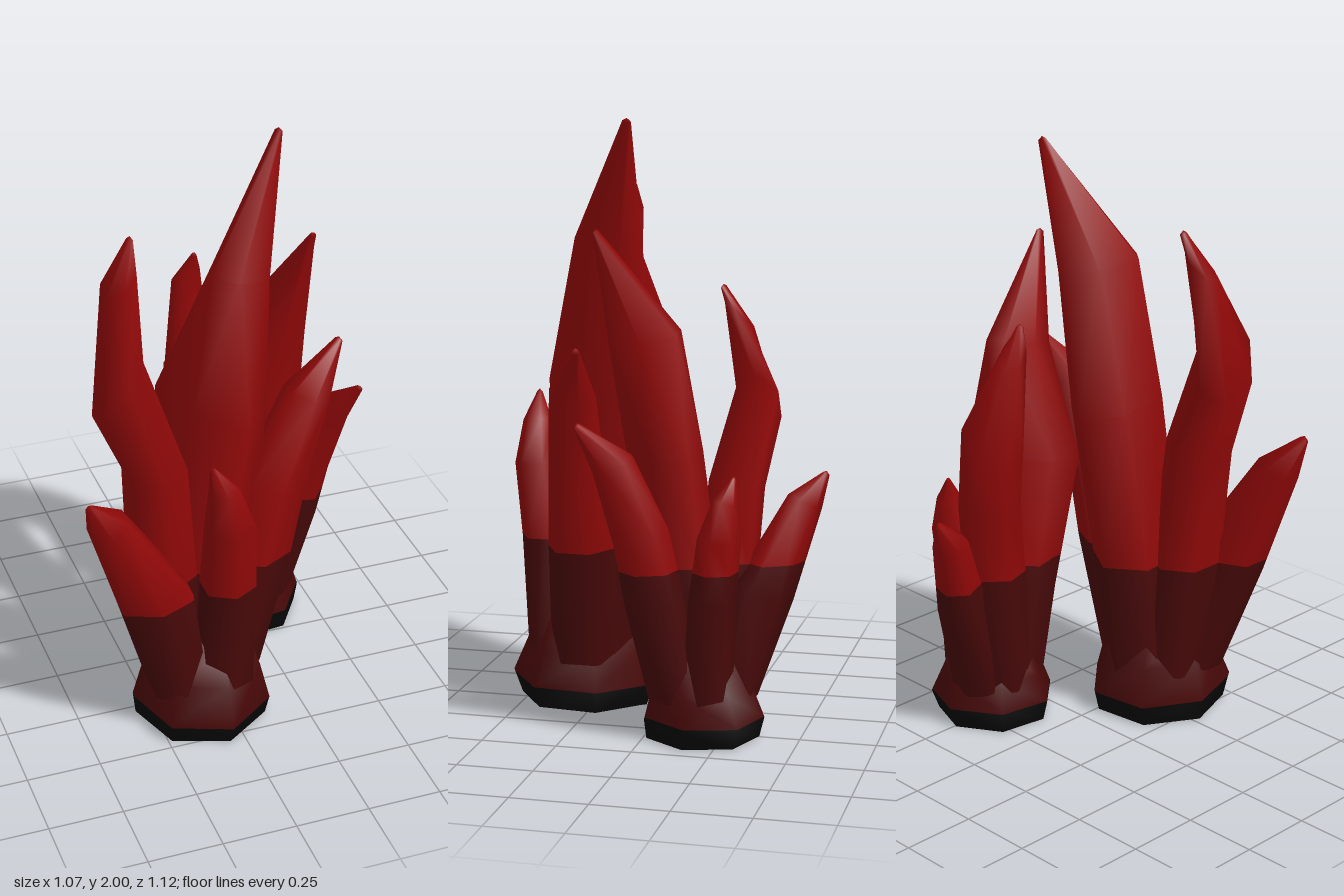
import * as THREE from 'three';

const mat = (name, color) => {
  const m = new THREE.MeshStandardMaterial({ color });
  m.name = name;
  return m;
};

// Height bands that decide the colour: black foot, dark stem, bright tips
const BANDS = [[-1, 0.07], [0.07, 0.57], [0.57, 9]];

// Each section: x, y, z, radius in x, radius in z, then optional skew of x along z and slopes along x and z
const SPIKES = {
  tallSpike: [[-0.07, 0.16, 0.255, 0.15, 0.16], [-0.05, 0.57, 0.215, 0.15, 0.175, 0.1], [0.002, 1.12, 0.167, 0.145, 0.228, 0.22],
    [0.1, 1.57, 0.175, 0.112, 0.13, -0.4], [0.258, 1.985, 0.072, 0.012, 0.014]],
  curvedSpike: [[-0.17, 0.16, 0.275, 0.11, 0.12], [-0.21, 0.57, 0.29, 0.115, 0.125], [-0.24, 0.99, 0.315, 0.105, 0.125],
    [-0.355, 1.3, 0.305, 0.077, 0.12, 0, 1.3, 0.5], [-0.32, 1.64, 0.225, 0.057, 0.06, 0, 0.7, -0.4],
    [-0.27, 1.75, 0.187, 0.01, 0.012]],
  outerSpike: [[-0.18, 0.15, 0.36, 0.105, 0.11], [-0.28, 0.57, 0.433, 0.13, 0.1], [-0.45, 0.92, 0.48, 0.066, 0.07],
    [-0.52, 1.03, 0.525, 0.012, 0.012]],
  frontSpike: [[-0.03, 0.16, 0.4, 0.1, 0.1], [-0.03, 0.57, 0.43, 0.095, 0.09], [-0.035, 0.82, 0.465, 0.088, 0.08],
    [-0.06, 0.96, 0.472, 0.052, 0.05], [-0.1, 1.05, 0.475, 0.01, 0.01]],
  sideSpike: [[0.035, 0.16, 0.28, 0.1, 0.12], [0.12, 0.57, 0.268, 0.125, 0.115], [0.185, 0.82, 0.262, 0.11, 0.1],
    [0.305, 1.12, 0.243, 0.075, 0.078], [0.435, 1.273, 0.193, 0.012, 0.012]],
};
const BASE = [[-0.08, 0, 0.3, 0.225, 0.235], [-0.08, 0.08, 0.305, 0.235, 0.26], [-0.075, 0.2, 0.3, 0.2, 0.21],
  [-0.075, 0.34, 0.3, 0.15, 0.16]];

// Loft rings along a path, each ring leaning with the path
function loft(sections, sides, place, flip, turn, capBottom) {
  const pos = [], idx = [];
  const add = (x, y, z) => pos.push(...place(x, y, z)) / 3 - 1;
  const tri = (a, b, c) => (flip ? idx.push(a, c, b) : idx.push(a, b, c));
  const ringPoints = sections.map(([x, y, z, rx, rz, skew = 0, slopeX, slopeZ], i) => {
    const p = sections[Math.max(i - 1, 0)], q = sections[Math.min(i + 1, sections.length - 1)];
    const lean = i === 0 ? 0 : -0.8 / (q[1] - p[1]);
    const sx = slopeX ?? lean * (q[0] - p[0]), sz = slopeZ ?? lean * (q[2] - p[2]);
    return Array.from({ length: sides }, (_, k) => {
      const t = turn + (k / sides) * Math.PI * 2;
      const oz = Math.sin(t) * rz, ox = Math.cos(t) * rx + skew * oz;
      return [x + ox, y + sx * ox + sz * oz, z + oz];
    });
  });
  const rings = ringPoints.map(r => r.map(v => add(...v)));
  for (let i = 0; i + 1 < rings.length; i++) {
    for (let k = 0; k < sides; k++) {
      const n = (k + 1) % sides, a = rings[i], b = rings[i + 1];
      tri(a[k], b[k], a[n]);
      tri(a[n], b[k], b[n]);
    }
  }
  // Closed end, and a flat underside with its own corners
  const end = sections.at(-1), top = rings.at(-1);
  const tip = add(end[0], end[1] + 0.01, end[2]);
  top.forEach((v, k) => tri(v, tip, top[(k + 1) % sides]));
  if (capBottom) {
    const low = ringPoints[0].map(v => add(...v));
    const mid = add(...sections[0].slice(0, 3));
    low.forEach((v, k) => tri(v, low[(k + 1) % sides], mid));
  }
  const g = new THREE.BufferGeometry();
  g.setAttribute('position', new THREE.Float32BufferAttribute(pos, 3));
  g.setIndex(idx);
  g.computeVertexNormals();
  return g;
}

// Keep the part of a polygon on one side of a level
function clip(poly, level, sign) {
  const out = [];
  poly.forEach((a, i) => {
    const b = poly[(i + 1) % poly.length];
    const da = (a.p.y - level) * sign, db = (b.p.y - level) * sign;
    if (da >= 0) out.push(a);
    if (da * db < 0) {
      const t = da / (da - db);
      out.push({ p: a.p.clone().lerp(b.p, t), n: a.n.clone().lerp(b.n, t).normalize() });
    }
  });
  return out;
}

// Cut a geometry into the colour bands, one material group each
function bandGeometry(src) {
  const pos = [], nor = [], g = new THREE.BufferGeometry();
  const P = src.attributes.position, N = src.attributes.normal, I = src.index;
  BANDS.forEach(([lo, hi], m) => {
    const start = pos.length / 3;
    for (let f = 0; f < I.count; f += 3) {
      const corners = [0, 1, 2].map(k => {
        const v = I.getX(f + k);
        return { p: new THREE.Vector3().fromBufferAttribute(P, v), n: new THREE.Vector3().fromBufferAttribute(N, v) };
      });
      const poly = clip(clip(corners, lo, 1), hi, -1);
      for (let k = 1; k + 1 < poly.length; k++) {
        for (const c of [poly[0], poly[k], poly[k + 1]]) {
          pos.push(c.p.x, c.p.y, c.p.z);
          nor.push(c.n.x, c.n.y, c.n.z);
        }
      }
    }
    const count = pos.length / 3 - start;
    if (count) g.addGroup(start, count, m);
  });
  g.setAttribute('position', new THREE.Float32BufferAttribute(pos, 3));
  g.setAttribute('normal', new THREE.Float32BufferAttribute(nor, 3));
  return g;
}

export function createModel() {
  const materials = [mat('blackFoot', 0x060606), mat('darkRed', 0x480808), mat('brightRed', 0x920808)];
  const model = new THREE.Group();
  model.name = 'spikyPlants';

  // Small cluster is a mirrored, turned and reduced copy of the large one
  const s = 0.828, c = Math.cos(0.691) * s, d = Math.sin(0.691) * s;
  const clusters = [
    ['largeCluster', (x, y, z) => [x, y, z], false],
    ['smallCluster', (x, y, z) => [c * x + d * z + 0.149, s * y, d * x - c * z + 0.059], true],
  ];
  for (const [name, place, flip] of clusters) {
    const group = new THREE.Group();
    group.name = name;
    const part = (label, geometry) => {
      const mesh = new THREE.Mesh(bandGeometry(geometry), materials);
      mesh.name = label;
      group.add(mesh);
    };
    part('base', loft(BASE, 7, place, flip, 1.45, true));
    for (const [label, sections] of Object.entries(SPIKES)) {
      part(label, loft(sections, 6, place, flip, Math.PI / 2, false));
    }
    model.add(group);
  }
  return model;
}
